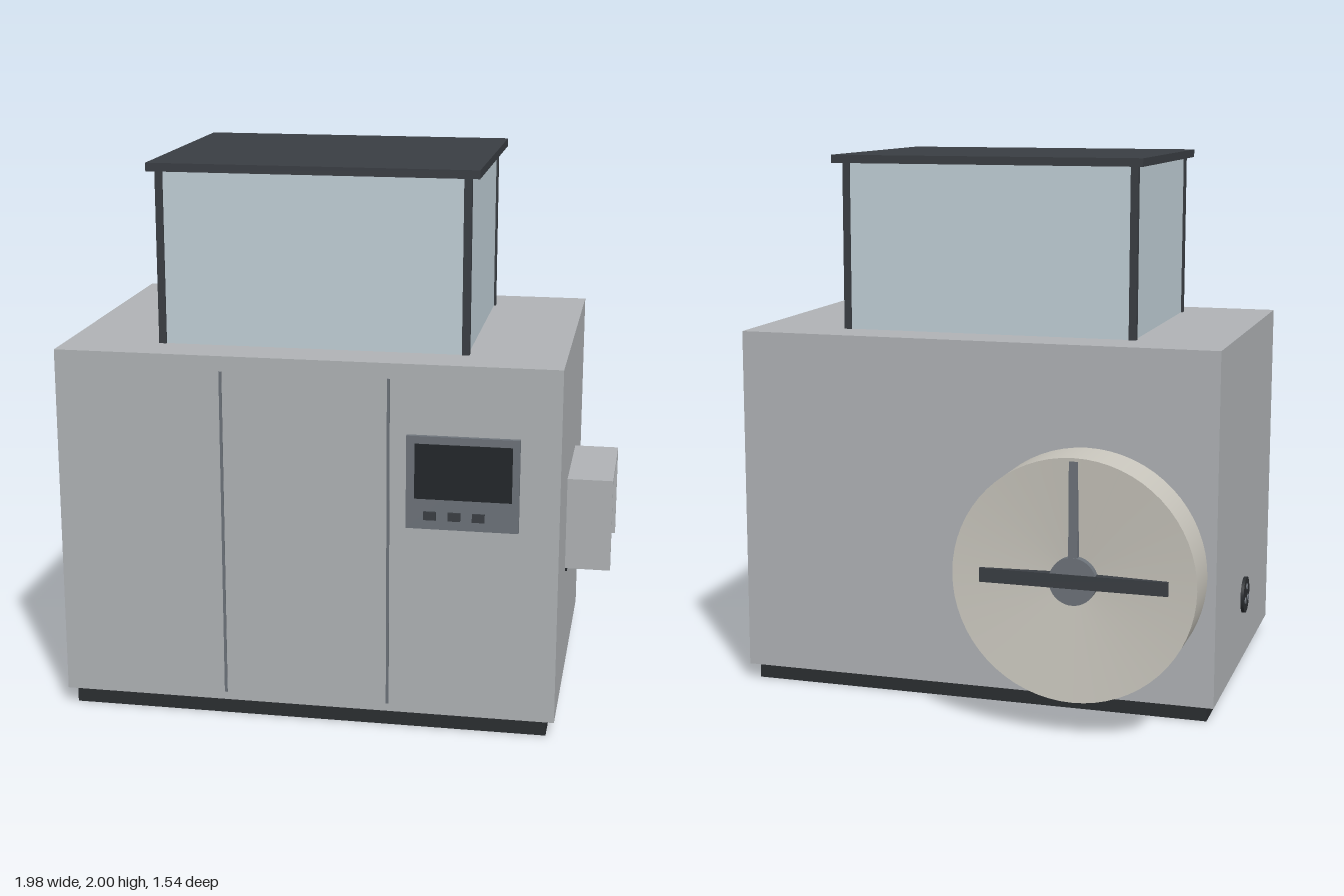
import * as THREE from 'three';

const mat = (color, side = THREE.FrontSide) => new THREE.MeshStandardMaterial({ color, side });
const steel = mat(0xb0b3b6), dark = mat(0x3a3e43), black = mat(0x23272a);
const glass = mat(0xc2d0d8), panelGrey = mat(0x6d737a), reelTan = mat(0xcac7be), rubber = mat(0x2b2e31);

export function createModel() {
  const model = new THREE.Group();

  // Box given by its extents on each axis
  const box = (name, material, [x0, x1], [y0, y1], [z0, z1], parent = model) => {
    const m = new THREE.Mesh(new THREE.BoxGeometry(x1 - x0, y1 - y0, z1 - z0), material);
    m.position.set((x0 + x1) / 2, (y0 + y1) / 2, (z0 + z1) / 2);
    m.name = name;
    parent.add(m);
    return m;
  };
  // Cylinder lying along x or z
  const rod = (name, material, r, length, axis, x, y, z, parent = model) => {
    const g = new THREE.CylinderGeometry(r, r, length, 40);
    if (axis === 'x') g.rotateZ(Math.PI / 2); else g.rotateX(Math.PI / 2);
    const m = new THREE.Mesh(g, material);
    m.position.set(x, y, z);
    m.name = name;
    parent.add(m);
    return m;
  };
  const group = (name) => {
    const g = new THREE.Group();
    g.name = name;
    model.add(g);
    return g;
  };

  // Cabinet on a recessed plinth, with door seams
  box('plinth', rubber, [-0.95, 0.79], [0, 0.06], [-0.46, 0.72]);
  box('cabinet', steel, [-0.98, 0.82], [0.06, 1.35], [-0.49, 0.74]);
  for (const x of [-0.376, 0.22])
    box('doorSeam', panelGrey, [x - 0.005, x + 0.005], [0.09, 1.295], [0.735, 0.744]);

  // Glazed hopper: four posts, four panes and a lid
  const hopper = group('hopper');
  const px = [-0.64, 0.48], pz = [-0.315, 0.58], t = 0.027;
  for (const x of [px[0], px[1] - t])
    for (const z of [pz[0], pz[1] - t])
      box('hopperPost', dark, [x, x + t], [1.35, 1.97], [z, z + t], hopper);
  for (const z of [pz[0] + 0.007, pz[1] - 0.019])
    box('hopperPane', glass, [px[0] + t, px[1] - t], [1.35, 1.97], [z, z + 0.012], hopper);
  for (const x of [px[0] + 0.007, px[1] - 0.019])
    box('hopperPane', glass, [x, x + 0.012], [1.35, 1.97], [pz[0] + t, pz[1] - t], hopper);
  box('hopperLid', dark, [-0.665, 0.51], [1.97, 2], [-0.35, 0.605], hopper);

  // Control panel with screen and buttons
  const panel = group('controlPanel');
  box('panelPlate', panelGrey, [0.285, 0.68], [0.765, 1.1], [0.735, 0.757], panel);
  box('screen', black, [0.315, 0.655], [0.875, 1.073], [0.75, 0.761], panel);
  for (const x of [0.37, 0.455, 0.54])
    box('button', dark, [x - 0.022, x + 0.022], [0.8, 0.83], [0.75, 0.766], panel);

  // Outlet chute: roof and two cheeks round a dark opening
  const chute = group('outletChute');
  box('outletOpening', black, [0.81, 0.826], [0.488, 0.795], [-0.073, 0.338], chute);
  box('chuteRoof', steel, [0.82, 0.985], [0.833, 0.85], [-0.092, 0.355], chute);
  for (const z of [-0.092, 0.34])
    box('chuteCheek', steel, [0.82, 0.985], [0.506, 0.833], [z, z + 0.015], chute);

  // Round socket on the side with three pins
  const socket = group('powerSocket');
  rod('socketBody', rubber, 0.07, 0.03, 'x', -0.977, 0.315, 0.13, socket);
  for (let i = 0; i < 3; i++) {
    const a = Math.PI / 2 + i * Math.PI * 2 / 3;
    rod('socketPin', panelGrey, 0.012, 0.01, 'x', -0.991, 0.315 + 0.033 * Math.sin(a), 0.13 + 0.033 * Math.cos(a), socket);
  }

  // Supply reel on a shaft: slightly dished faces
  const reel = group('supplyReel');
  reel.position.set(-0.527, 0.565, -0.67);
  const R = 0.436, h = 0.095, dish = 0.035;
  const faceProfiles = {
    reelInnerFace: [[0, -h + dish], [R, -h]],
    reelRim: [[R, -h], [R, h]],
    reelOuterFace: [[R, h], [0, h - dish]],
  };
  for (const [name, pts] of Object.entries(faceProfiles)) {
    const g = new THREE.LatheGeometry(pts.map(p => new THREE.Vector2(...p)), 64);
    g.rotateX(-Math.PI / 2);
    const m = new THREE.Mesh(g, mat(0xcac7be, THREE.DoubleSide));
    m.material.color.copy(reelTan.color);
    m.name = name;
    reel.add(m);
  }
  rod('reelHub', panelGrey, 0.085, 0.194, 'z', 0, 0, 0, reel);
  box('reelBar', dark, [-0.336, 0.336], [-0.025, 0.025], [-0.1, 0.1], reel);
  box('reelArm', panelGrey, [-0.016, 0.016], [0, 0.425], [-0.094, 0.094], reel);
  rod('reelShaft', dark, 0.045, 0.16, 'z', 0, 0, 0.13, reel);

  return model;
}
